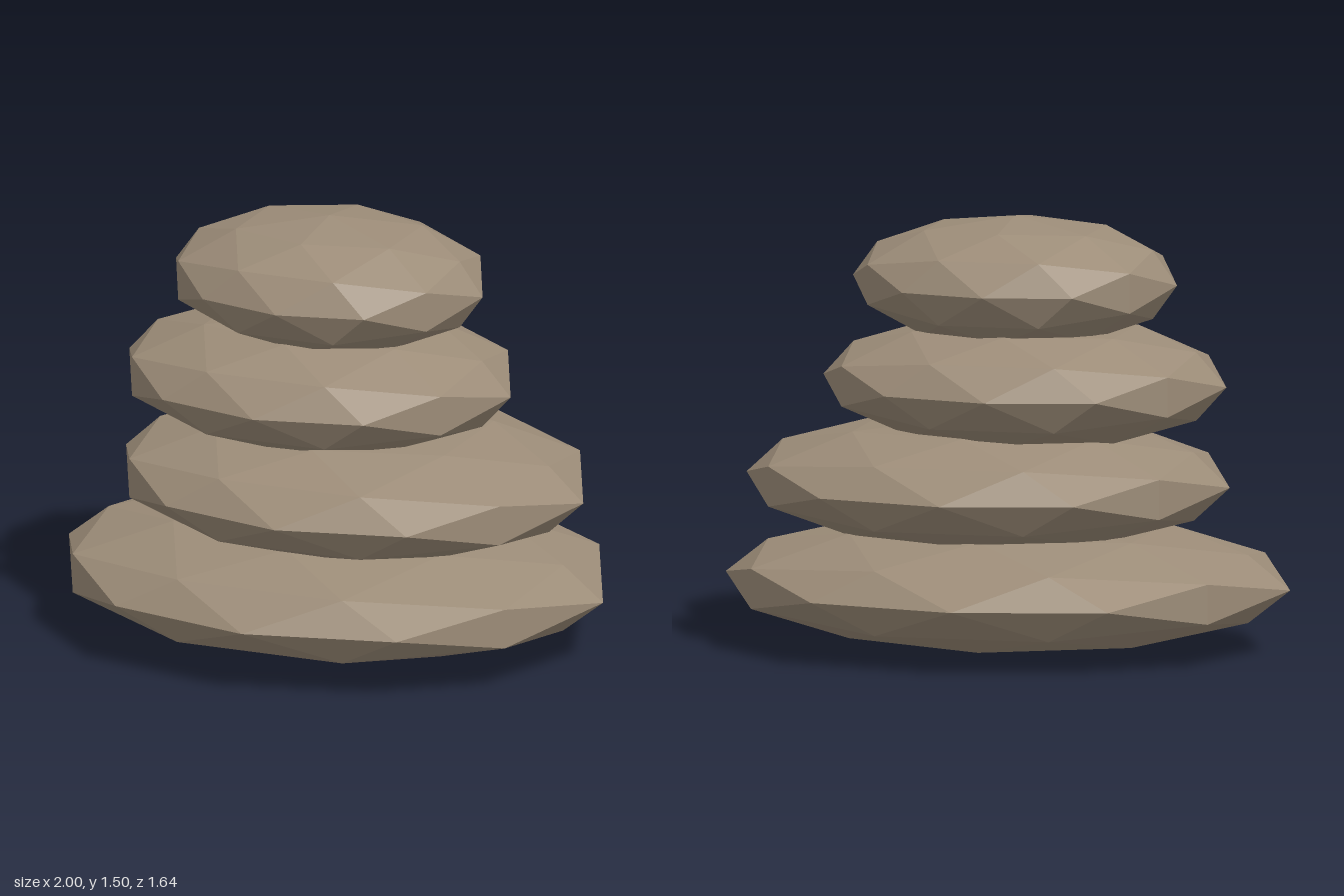
import * as THREE from 'three';

// Stacked stones, bottom to top: sideways offset, centre height, half width
const STONES = [
  { name: 'bottomStone', x: 0, y: 0.228, radius: 1.0 },
  { name: 'lowerMiddleStone', x: 0.07, y: 0.577, radius: 0.856 },
  { name: 'upperMiddleStone', x: -0.06, y: 0.925, radius: 0.714 },
  { name: 'topStone', x: -0.025, y: 1.273, radius: 0.574 },
];
const HALF_HEIGHT = 0.225;
const DEPTH_RATIO = 0.82;

export function createModel() {
  const group = new THREE.Group();
  group.name = 'stoneStack';

  const stoneMaterial = new THREE.MeshStandardMaterial({ color: 0x9c8c78, flatShading: true });
  stoneMaterial.name = 'warm grey stone';

  for (const { name, x, y, radius } of STONES) {
    // Faceted pebble: a subdivided icosahedron, quarter-turned and flattened
    const geometry = new THREE.IcosahedronGeometry(1, 1);
    geometry.rotateY(Math.PI / 2);
    geometry.scale(radius, HALF_HEIGHT, radius * DEPTH_RATIO);
    geometry.computeVertexNormals();

    const stone = new THREE.Mesh(geometry, stoneMaterial);
    stone.name = name;
    stone.position.set(x, y, 0);
    group.add(stone);
  }
  return group;
}
